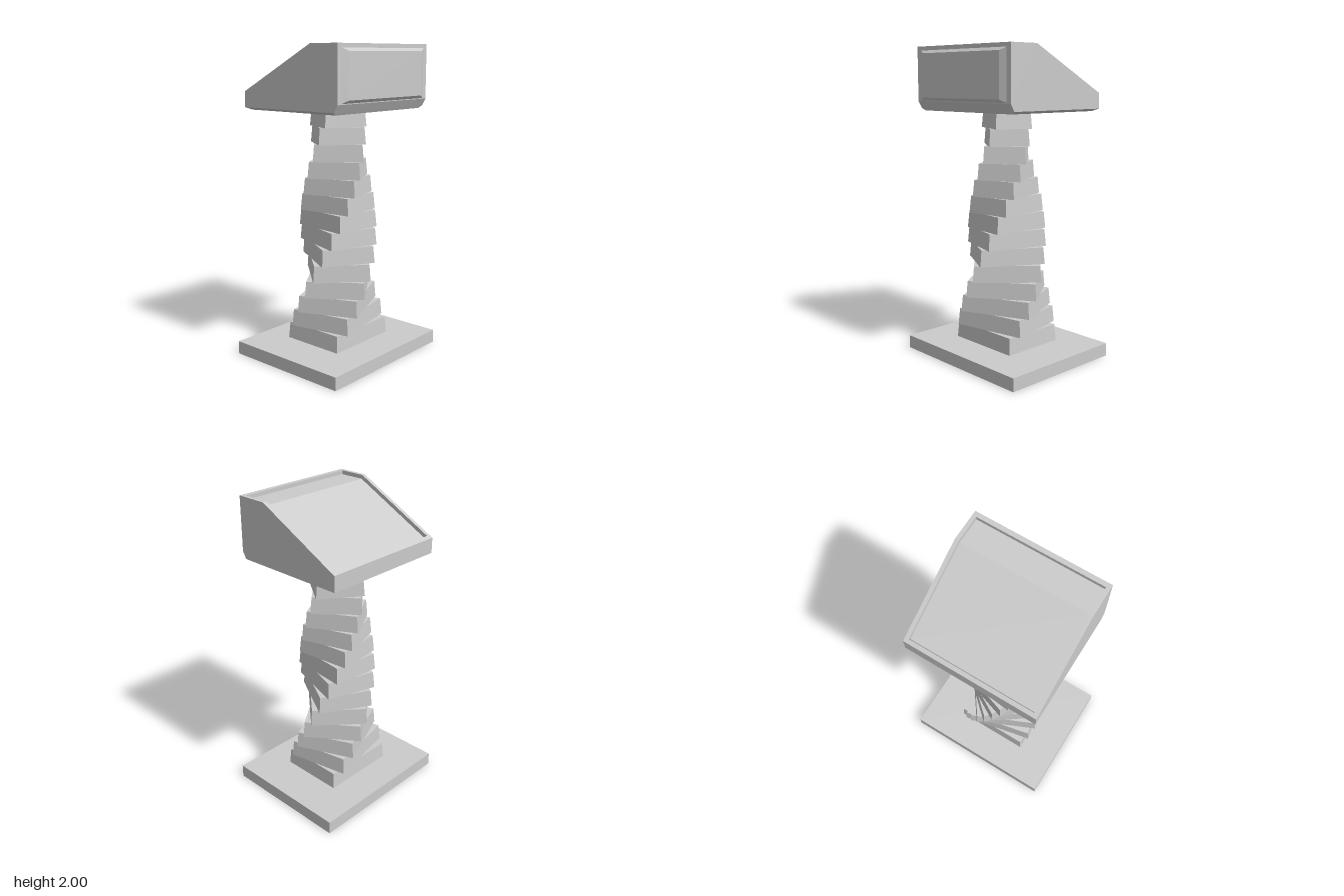
import * as THREE from 'three';

const material = new THREE.MeshStandardMaterial({ color: 0xcccccc });

function addPart(parent, name, geometry) {
  const mesh = new THREE.Mesh(geometry, material);
  mesh.name = name;
  parent.add(mesh);
  return mesh;
}

// Tapered block between two rectangles [x0, x1, z0, z1] at heights y0 and y1.
function taperedBlock(bottom, top, y0, y1) {
  const geometry = new THREE.BoxGeometry(1, 1, 1);
  const p = geometry.attributes.position;
  for (let i = 0; i < p.count; i++) {
    const r = p.getY(i) > 0 ? top : bottom;
    p.setXYZ(i, r[p.getX(i) > 0 ? 1 : 0], p.getY(i) > 0 ? y1 : y0, r[p.getZ(i) > 0 ? 3 : 2]);
  }
  geometry.computeVertexNormals();
  return geometry;
}

// Side profile of [z, y] points, extruded across from x0 to x1.
function sideExtrude(points, x0, x1) {
  const shape = new THREE.Shape(points.map(([z, y]) => new THREE.Vector2(z, y)));
  const geometry = new THREE.ExtrudeGeometry(shape, { depth: x1 - x0, bevelEnabled: false });
  return geometry.rotateY(-Math.PI / 2).translate(x1, 0, 0);
}

const centred = (halfX, halfZ) => [-halfX, halfX, -halfZ, halfZ];

export function createModel() {
  const model = new THREE.Group();
  model.name = 'lectern';

  // Flat foot
  addPart(model, 'basePlate', taperedBlock(centred(0.506, 0.424), centred(0.506, 0.424), 0, 0.085));

  // Twisting column: stacked tapering blocks, each turned a little further
  const column = new THREE.Group();
  column.name = 'twistedColumn';
  model.add(column);
  const count = 14, y0 = 0.094, y1 = 1.6, depthRatio = 0.838;
  const level = (i) => THREE.MathUtils.lerp(y0, y1, i / count);
  const section = (i) => {
    const half = THREE.MathUtils.lerp(0.252, 0.134, i / count);
    return centred(half, half * depthRatio);
  };
  for (let i = 0; i < count; i++) {
    const block = addPart(column, 'columnBlock', taperedBlock(section(i), section(i + 1), level(i), level(i + 1)));
    block.rotation.y = THREE.MathUtils.degToRad(12 * i);
  }

  // Sloped head
  const head = new THREE.Group();
  head.name = 'head';
  model.add(head);
  const halfWidth = 0.428, innerHalf = 0.403;
  const lower = [[0.37, 2], [0.37, 1.66], [0.344, 1.615], [-0.393, 1.615], [-0.393, 1.713]];

  // Side rims at full height
  const rimProfile = [...lower, [0.165, 2]];
  addPart(head, 'leftRim', sideExtrude(rimProfile, innerHalf, halfWidth));
  addPart(head, 'rightRim', sideExtrude(rimProfile, -halfWidth, -innerHalf));

  // Middle body with the sunken reading surface
  const bodyProfile = [...lower, [-0.37, 1.725], [-0.359, 1.703], [0.171, 1.975], [0.34, 1.975], [0.34, 2]];
  addPart(head, 'readingDesk', sideExtrude(bodyProfile, -innerHalf, innerHalf));

  // Chamfered underside
  addPart(head, 'underside',
    taperedBlock([-0.4, 0.4, -0.355, 0.335], [-halfWidth, halfWidth, -0.393, 0.344], 1.6, 1.615));

  // Raised front panel with bevelled edges
  addPart(head, 'frontPanel',
    taperedBlock([-0.405, 0.405, -1.98, -1.66], [-0.35, 0.35, -1.957, -1.683], 0.365, 0.388).rotateX(Math.PI / 2));

  return model;
}
